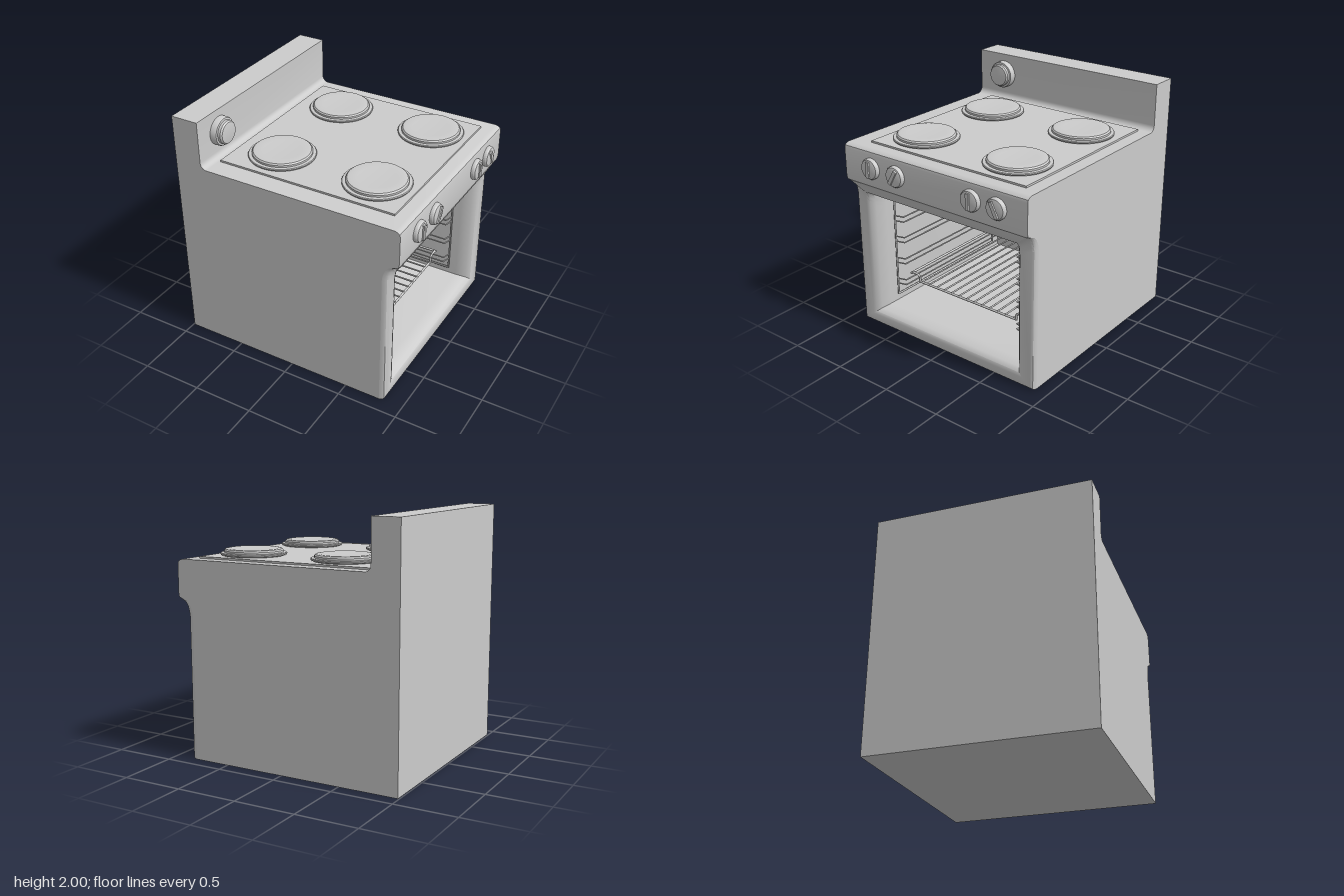
import * as THREE from 'three';
import { toCreasedNormals } from 'three/addons/utils/BufferGeometryUtils.js';

const V = (x, y, z) => new THREE.Vector3(x, y, z);
const mat = new THREE.MeshStandardMaterial({ color: 0xcccccc });
const matDouble = new THREE.MeshStandardMaterial({ color: 0xcccccc, side: THREE.DoubleSide });

function add(parent, name, geo, pos = [0, 0, 0], material = mat) {
  const m = new THREE.Mesh(geo, material);
  m.name = name;
  m.position.set(...pos);
  parent.add(m);
  return m;
}

function group(parent, name) {
  const g = new THREE.Group();
  g.name = name;
  parent.add(g);
  return g;
}

// Straight wires joining a list of points
function wire(parent, name, pts, r = 0.008) {
  for (let i = 0; i < pts.length - 1; i++) {
    const d = pts[i + 1].clone().sub(pts[i]);
    const m = add(parent, name, new THREE.CylinderGeometry(r, r, d.length() + r, 8));
    m.position.copy(pts[i]).addScaledVector(d, 0.5);
    m.quaternion.setFromUnitVectors(V(0, 1, 0), d.normalize());
  }
}

// Surface through rows of points, smoothed across soft edges
function skin(rows, closed) {
  const pos = [];
  for (let r = 0; r < rows.length - 1; r++) {
    const a = rows[r], b = rows[r + 1], n = a.length;
    for (let i = 0; i < (closed ? n : n - 1); i++) {
      const j = (i + 1) % n;
      for (const p of [a[i], a[j], b[j], a[i], b[j], b[i]]) pos.push(p.x, p.y, p.z);
    }
  }
  const g = new THREE.BufferGeometry();
  g.setAttribute('position', new THREE.Float32BufferAttribute(pos, 3));
  return toCreasedNormals(g, 0.6);
}

const lathe = (pts, seg = 48) =>
  toCreasedNormals(new THREE.LatheGeometry(pts.map(p => new THREE.Vector2(...p)), seg), 0.6);

const HALF = 0.89;
// Height fraction along the jamb and how far the cove leans forward there
const COVE = [[0, 0], [0.89, 0], [0.92, 0.06], [0.95, 0.18], [0.975, 0.4], [0.99, 0.75], [1, 1]];

function buildBody(root) {
  const body = group(root, 'body');
  // Side outline, from the control panel's lower edge round to the front foot
  const outline = [[0.93, 1.31], [0.935, 1.34], [0.935, 1.57], [0.93, 1.59], [0.915, 1.602], [0.89, 1.61]];
  for (let i = 0; i <= 6; i++) {
    const a = -Math.PI / 2 - (i / 6) * Math.PI / 2;
    outline.push([-0.71 + 0.05 * Math.cos(a), 1.66 + 0.05 * Math.sin(a)]);
  }
  outline.push([-0.76, 2], [-0.99, 2], [-0.99, 0], [0.8, 0]);
  add(body, 'outerShell', skin(outline.map(([x, y]) => [V(x, y, HALF), V(x, y, -HALF)]), false), [0, 0, 0], matDouble);

  // Side panels with the cove under the control panel
  const jamb = COVE.map(([t, f]) => [0.8 + 0.13 * f, 1.31 * t]);
  const side = new THREE.Shape([...outline, ...jamb.slice(1, -1)].map(p => new THREE.Vector2(...p)));
  for (const s of [1, -1]) add(body, 'sidePanel', new THREE.ShapeGeometry(side), [0, 0, s * HALF], matDouble);

  // Rounded, mitred front frame running into the oven cavity
  // [half width, bottom, top, depth, cove strength]
  const rings = [
    [0.89, 0, 1.31, 0.8, 1], [0.887, 0.003, 1.309, 0.822, 1], [0.878, 0.01, 1.305, 0.837, 1],
    [0.86, 0.025, 1.295, 0.845, 0.9], [0.78, 0.08, 1.23, 0.845, 0.55], [0.75, 0.105, 1.205, 0.835, 0.4],
    [0.72, 0.13, 1.185, 0.8, 0.25], [0.69, 0.15, 1.16, 0.72, 0],
    [0.69, 0.15, 1.16, -0.72, 0], [0, 0.65, 0.65, -0.72, 0],
  ].map(([h, lo, hi, x, k]) => {
    const up = COVE.map(([t, f]) => V(x + (0.93 - x) * f * k, lo + (hi - lo) * t, -h));
    return [...up, ...up.map(p => V(p.x, p.y, h)).reverse()];
  });
  add(body, 'frontFrameAndCavity', skin(rings, true), [0, 0, 0], matDouble);
}

function buildCooktop(root) {
  const top = group(root, 'cooktop');
  add(top, 'hobPlate', new THREE.BoxGeometry(1.5, 0.025, 1.505), [0.055, 1.6125, -0.0275]);
  const burner = lathe([[0.235, 1.62], [0.262, 1.632], [0.265, 1.642], [0.26, 1.648], [0.235, 1.65],
    [0.235, 1.665], [0.225, 1.676], [0.2, 1.68], [0.15, 1.676], [0, 1.674]], 64);
  for (const x of [-0.33, 0.5]) for (const z of [-0.475, 0.42]) add(top, 'burner', burner, [x, 0, z]);
}

function buildKnobs(root) {
  // Round dial on the back panel
  const dial = lathe([[0.115, 0], [0.115, 0.045], [0.11, 0.055], [0.095, 0.058], [0.095, 0.08],
    [0.085, 0.093], [0.07, 0.096], [0, 0.096]]);
  add(root, 'backPanelDial', dial, [-0.762, 1.825, 0.63]).rotation.z = -Math.PI / 2;

  // Control knobs with grip bars
  const cap = lathe([[0.085, 0], [0.085, 0.022], [0.077, 0.034], [0.06, 0.04], [0, 0.042]], 32);
  for (const [z, tilt] of [[0.605, 0], [0.345, -0.52], [-0.39, 0], [-0.625, 0.47]]) {
    const knob = group(root, 'controlKnob');
    knob.position.set(0.934, 1.46, z);
    knob.rotation.x = tilt;
    add(knob, 'knobCap', cap).rotation.z = -Math.PI / 2;
    add(knob, 'knobGrip', new THREE.BoxGeometry(0.04, 0.13, 0.03), [0.033, 0, 0]);
  }
}

function buildFan(root) {
  const fan = group(root, 'ovenFan');
  fan.position.set(-0.72, 0.755, 0);
  add(fan, 'fanRing', new THREE.TorusGeometry(0.305, 0.048, 16, 64), [0.05, 0, 0]).rotation.y = Math.PI / 2;
  // Square grille clipped to the ring
  for (let i = -4; i <= 4; i++) {
    const o = i * 0.06, len = 2 * Math.sqrt(0.28 ** 2 - o * o);
    add(fan, 'grilleBar', new THREE.BoxGeometry(0.012, len, 0.013), [0.065, 0, o]);
    add(fan, 'grilleBar', new THREE.BoxGeometry(0.012, 0.013, len), [0.065, o, 0]);
  }
  add(fan, 'fanHub', new THREE.CylinderGeometry(0.06, 0.06, 0.05, 24), [0.025, 0, 0]).rotation.z = Math.PI / 2;
  for (let i = 0; i < 6; i++) {
    const blade = group(fan, 'fanBlade');
    blade.rotation.x = i * Math.PI / 3;
    add(blade, 'fanBlade', new THREE.BoxGeometry(0.008, 0.19, 0.07), [0.025, 0.14, 0]).rotation.y = 0.4;
  }
}

function buildHeater(root) {
  // Serpentine element under the oven roof
  const pts = [], front = 0.52, back = -0.5, r = 0.08;
  for (let i = 0; i < 8; i++) {
    const z = 0.56 - i * 0.16, out = i % 2 === 0;
    const [from, to] = out ? [back, front] : [front, back];
    for (const t of [0, 0.33, 0.67, 1]) pts.push(V(from + (to - from) * t, 1.13, z));
    if (i < 7) for (const a of [0.25, 0.5, 0.75])
      pts.push(V(to + (out ? 1 : -1) * r * Math.sin(a * Math.PI), 1.13, z - r + r * Math.cos(a * Math.PI)));
  }
  pts.unshift(V(-0.72, 1.13, 0.56));
  pts.push(V(-0.72, 1.13, -0.56));
  add(root, 'heatingElement', new THREE.TubeGeometry(new THREE.CatmullRomCurve3(pts), 320, 0.027, 10));
}

function buildRacks(root) {
  // Wire shelf supports on both cavity walls
  const xf = 0.66, xb = -0.6;
  for (const s of [1, -1]) {
    const rack = group(root, 'sideRack'), w = 0.655 * s, e = 0.58 * s;
    wire(rack, 'rackFrame', [V(xf, 0.23, w), V(xf, 1.11, w), V(xb, 1.11, w), V(xb, 0.23, w), V(xf, 0.23, w)]);
    for (const y of [0.95, 0.765, 0.57, 0.375]) for (const h of [y, y - 0.045])
      wire(rack, 'rackRail', [V(xf, h, w), V(xf - 0.02, h, e), V(xb + 0.02, h, e), V(xb, h, w)], 0.006);
  }
  // Sunken wire shelf
  const shelf = group(root, 'shelf'), f = 0.55, b = -0.55;
  for (const x of [f, b])
    wire(shelf, 'shelfEnd', [V(x, 0.395, 0.605), V(x, 0.41, 0.585), V(x, 0.405, 0.53), V(x, 0.39, 0.51), V(x, 0.345, 0.505),
      V(x, 0.345, -0.505), V(x, 0.39, -0.51), V(x, 0.405, -0.53), V(x, 0.41, -0.585), V(x, 0.395, -0.605)], 0.01);
  for (const s of [1, -1]) wire(shelf, 'shelfRunner', [V(f, 0.395, s * 0.605), V(b, 0.395, s * 0.605)], 0.01);
  for (let i = 0; i < 13; i++) {
    const z = -0.48 + i * 0.08;
    wire(shelf, 'shelfBar', [V(f, 0.353, z), V(b, 0.353, z)], 0.007);
  }
}

export function createModel() {
  const root = new THREE.Group();
  root.name = 'cooker';
  buildBody(root);
  buildCooktop(root);
  buildKnobs(root);
  buildFan(root);
  buildHeater(root);
  buildRacks(root);
  return root;
}
